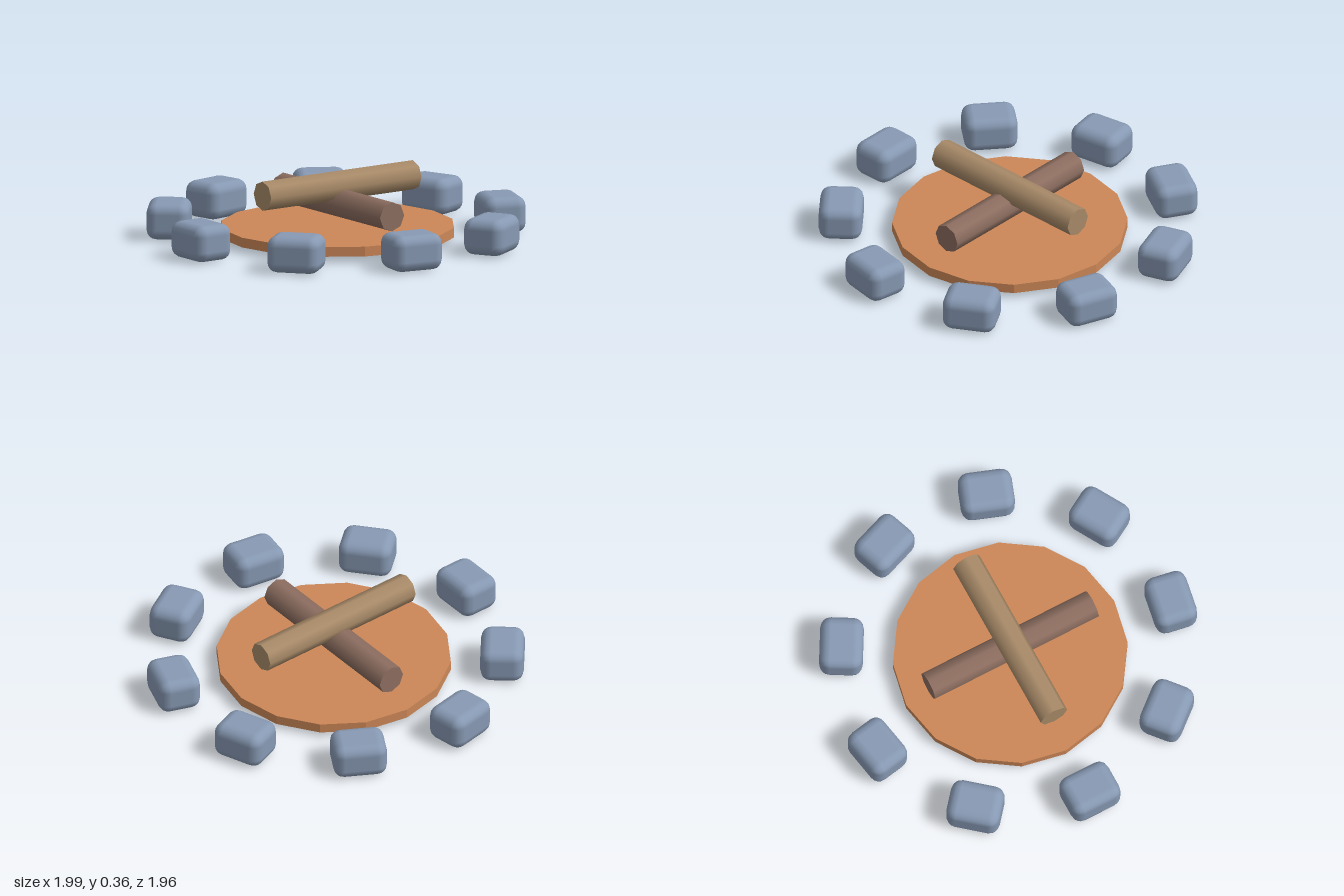
import * as THREE from 'three';
import { RoundedBoxGeometry } from 'three/addons/geometries/RoundedBoxGeometry.js';

const material = (name, color) => {
  const m = new THREE.MeshStandardMaterial({ color });
  m.name = name;
  return m;
};

export function createModel() {
  const stone = material('blue grey stone', 0x8799b3);
  const clay = material('orange clay', 0xcc8757);
  const darkWood = material('dark wood', 0x8d6e60);
  const lightWood = material('light wood', 0xa88a68);

  const group = new THREE.Group();
  group.name = 'campfire';
  const centreZ = -0.016;

  const add = (name, geometry, mat, x, y, z) => {
    const mesh = new THREE.Mesh(geometry, mat);
    mesh.name = name;
    mesh.position.set(x, y, z);
    group.add(mesh);
    return mesh;
  };

  // Sixteen-sided fire bed
  const bed = new THREE.CylinderGeometry(0.616, 0.616, 0.052, 16).toNonIndexed();
  bed.computeVertexNormals();
  add('fireBed', bed, clay, 0, 0.055, centreZ);

  // Two crossed eight-sided logs
  const log = new THREE.CylinderGeometry(0.078, 0.078, 0.97, 8);
  add('lowerLog', log, darkWood, 0, 0.199, centreZ).rotation.z = Math.PI / 2;
  add('upperLog', log, lightWood, 0, 0.287, centreZ).rotation.x = Math.PI / 2;

  // Ring of nine rounded stones, each facing the centre
  const block = new RoundedBoxGeometry(0.284, 0.194, 0.228, 2, 0.056);
  const ringRadius = 0.882;
  for (let i = 0; i < 9; i++) {
    const a = (i / 9) * Math.PI * 2;
    add(`ringStone${i + 1}`, block, stone,
      Math.sin(a) * ringRadius, 0.1, centreZ + Math.cos(a) * ringRadius).rotation.y = a;
  }

  return group;
}
